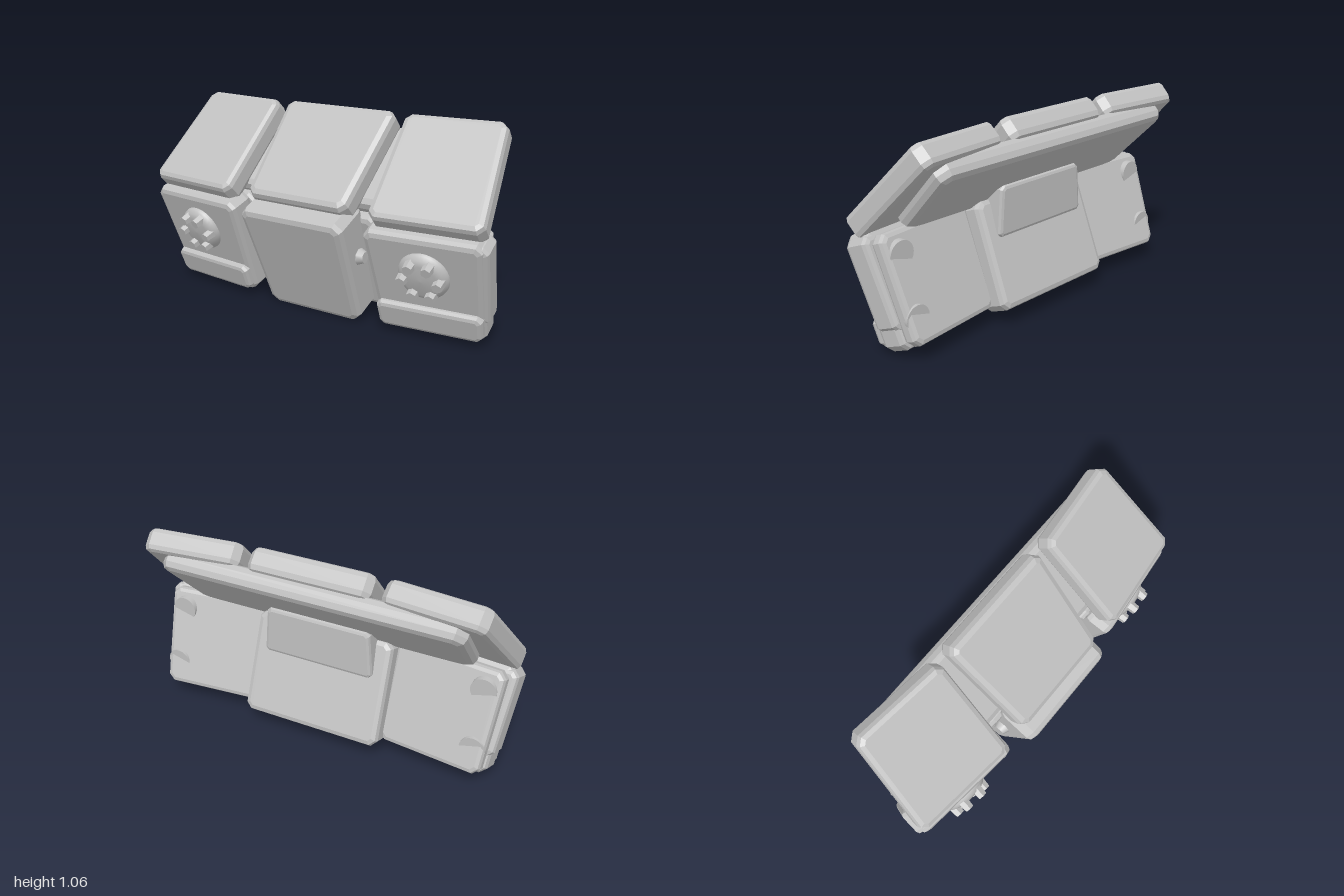
import * as THREE from 'three';

const RAD = Math.PI / 180;
const LOWER_TILT = 21 * RAD, UPPER_TILT = -45 * RAD, YAW = 6 * RAD;

export function createModel() {
  const grey = new THREE.MeshStandardMaterial({ color: 0xc0c0c0 });
  grey.name = 'plain grey';
  const model = new THREE.Group();
  model.name = 'segmentedArmour';

  function add(parent, name, geometry, x = 0, y = 0, z = 0) {
    const mesh = new THREE.Mesh(geometry, grey);
    mesh.name = name;
    mesh.position.set(x, y, z);
    parent.add(mesh);
    return mesh;
  }

  // Bevelled plate: [x0, x1] at the bottom and top, y range, z range
  function plate(parent, name, bottom, top, [y0, y1], [z0, z1], bevel = 0.025, cut = 0.03) {
    const corners = [[bottom[0], y0], [bottom[1], y0], [top[1], y1], [top[0], y1]]
      .map(([x, y]) => new THREE.Vector2(x, y));
    const points = [];
    corners.forEach((c, i) => {
      for (const n of [corners[(i + 3) % 4], corners[(i + 1) % 4]]) {
        points.push(n.clone().sub(c).setLength(cut).add(c));
      }
    });
    const geometry = new THREE.ExtrudeGeometry(new THREE.Shape(points), {
      depth: z1 - z0 - 2 * bevel, bevelEnabled: true, bevelThickness: bevel,
      bevelSize: bevel, bevelOffset: -bevel, bevelSegments: 2,
    });
    return add(parent, name, geometry, 0, 0, z0 + bevel);
  }

  function group(parent, name, tilt) {
    const g = new THREE.Group();
    g.name = name;
    g.rotation.x = tilt;
    parent.add(g);
    return g;
  }

  // Centre: lower block, rear block, upper panel and the long backing slab
  const lower = group(model, 'lowerCentre', LOWER_TILT);
  const block = plate(lower, 'centreBlock', [-0.285, 0.285], [-0.312, 0.312], [0, 0.63], [-0.15, 0.075], 0.035, 0.04);
  block.rotation.x = 2.5 * RAD;
  plate(lower, 'centreRearBlock', [-0.39, 0.39], [-0.385, 0.385], [-0.008, 0.555], [-0.262, -0.09], 0.03, 0.035);

  const upper = group(model, 'upperCentre', UPPER_TILT);
  plate(upper, 'centrePanel', [-0.3, 0.3], [-0.337, 0.337], [0.255, 0.87], [0.49, 0.625], 0.035, 0.035);
  plate(upper, 'backingSlab', [-0.8, 0.8], [-0.83, 0.83], [0.36, 0.852], [0.4, 0.515], 0.04, 0.05);

  // Upright block joining the slab to the rear
  plate(model, 'rearBracket', [-0.31, 0.31], [-0.29, 0.29], [0.42, 0.685], [-0.135, 0.0], 0.018, 0.02);

  const domeProfile = [[0, 0.062], [0.085, 0.058], [0.112, 0.045], [0.128, 0.025], [0.132, 0], [0.132, -0.03]]
    .reverse().map(([r, y]) => new THREE.Vector2(r, y));

  for (const side of [1, -1]) {
    const word = side > 0 ? 'left' : 'right';
    // Mirrors an x range about the centre of the side section
    const range = (a, b) => (side > 0 ? [a - 0.7, b - 0.7] : [0.7 - b, 0.7 - a]);

    const wing = new THREE.Group();
    wing.name = word + 'Section';
    wing.position.x = side * 0.7;
    wing.rotation.y = side * YAW;
    model.add(wing);

    // Upper side panel
    const top = group(wing, word + 'UpperSection', UPPER_TILT);
    plate(top, 'sidePanel', range(0.4, 0.985), range(0.412, 0.945), [0.268, 0.885], [0.475, 0.603], 0.03, 0.035);

    // Lower side block, outer cheek, rear plate and foot bar
    const low = group(wing, word + 'LowerSection', LOWER_TILT);
    plate(low, 'sideBlock', range(0.405, 0.955), range(0.375, 0.985), [0, 0.582], [-0.13, 0.022], 0.03, 0.035);
    plate(low, 'outerCheek', range(0.86, 0.975), range(0.88, 1.003), [0.1, 0.565], [-0.135, 0.008], 0.025, 0.03);
    plate(low, 'rearPlate', range(0.38, 0.945), range(0.37, 0.965), [0.01, 0.555], [-0.205, -0.12], 0.025, 0.035);
    plate(low, 'footBar', range(0.41, 0.95), range(0.405, 0.957), [0.028, 0.178], [-0.03, 0.055], 0.022, 0.025);

    // Round boss with six hexagonal studs
    const boss = new THREE.Group();
    boss.name = 'studdedBoss';
    boss.position.set(-side * 0.02, 0.375, 0.012);
    boss.rotation.x = Math.PI / 2;
    low.add(boss);
    add(boss, 'bossDome', new THREE.LatheGeometry(domeProfile, 32));
    for (let i = 0; i < 6; i++) {
      const a = i * Math.PI / 3;
      add(boss, 'hexStud', new THREE.CylinderGeometry(0.026, 0.031, 0.06, 6).toNonIndexed(),
        Math.cos(a) * 0.092, 0.06, Math.sin(a) * 0.092).geometry.computeVertexNormals();
    }

    // Half-sunk rear pegs
    for (const [y, z] of [[0.485, -0.02], [0.195, -0.115]]) {
      add(model, 'rearPeg', new THREE.CylinderGeometry(0.068, 0.068, 0.08, 24), side * 0.87, y, z)
        .rotation.x = Math.PI / 2;
    }

    // Pivot bolt on the flank of the centre block
    add(lower, 'flankBolt', new THREE.CylinderGeometry(0.03, 0.055, 0.06, 8), side * 0.305, 0.36, -0.03)
      .rotation.z = -side * Math.PI / 2;
  }
  return model;
}
